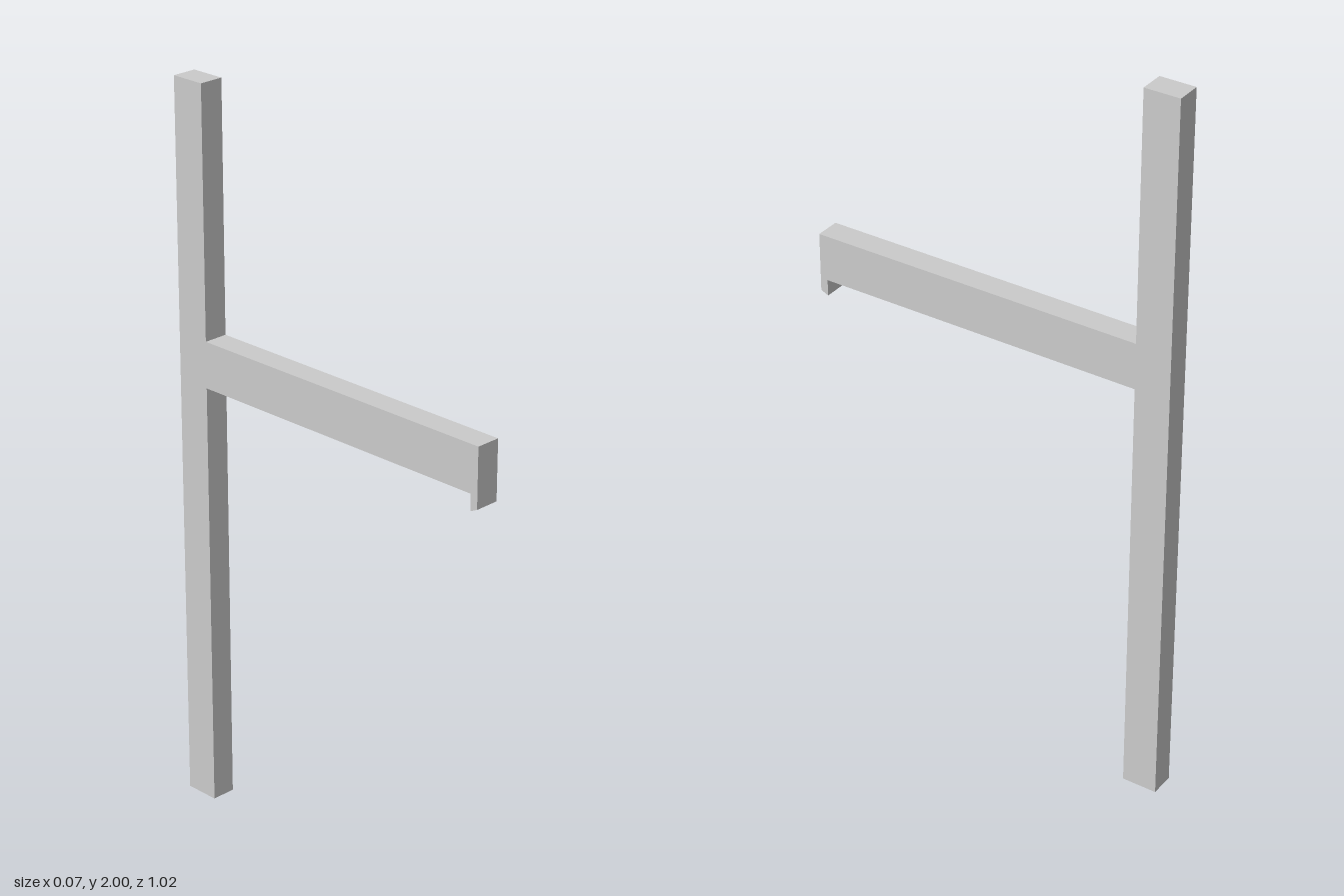
import * as THREE from 'three';

const WIDTH = 0.068;

export function createModel() {
  const group = new THREE.Group();
  const material = new THREE.MeshStandardMaterial({ color: 0xcccccc, flatShading: true });

  // Upright post at the back
  const post = new THREE.Mesh(new THREE.BoxGeometry(WIDTH, 2, 0.097), material);
  post.name = 'post';
  post.position.set(0, 1, -0.4635);
  group.add(post);

  // Forward arm with a small slanted lip under its tip; side profile as (z, y)
  const profile = new THREE.Shape([
    [-0.415, 1.2], [0.491, 1.2], [0.491, 1.155],
    [0.512, 1.165], [0.512, 1.327], [-0.415, 1.327],
  ].map(([z, y]) => new THREE.Vector2(z, y)));
  const armGeometry = new THREE.ExtrudeGeometry(profile, { depth: WIDTH, bevelEnabled: false });
  armGeometry.translate(0, 0, -WIDTH / 2).rotateY(-Math.PI / 2);
  const arm = new THREE.Mesh(armGeometry, material);
  arm.name = 'armWithLip';
  group.add(arm);

  return group;
}
